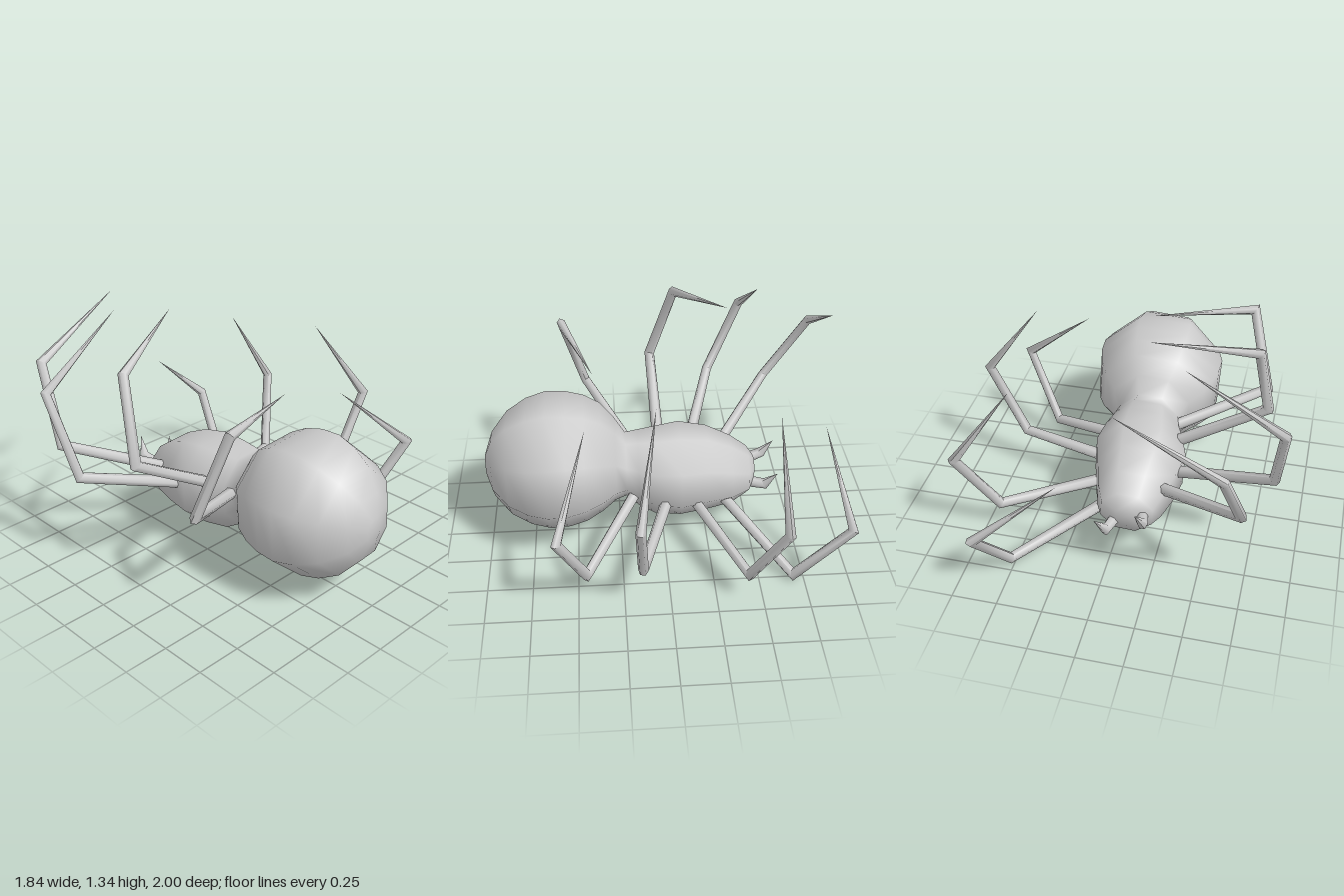
import * as THREE from 'three';
import { toCreasedNormals } from 'three/addons/utils/BufferGeometryUtils.js';

const material = new THREE.MeshStandardMaterial({ color: 0xcccccc });
const V = (a) => new THREE.Vector3(...a);

// Skins a list of rings (arrays of Vector3 with equal length) as one closed-round surface.
function skin(rings) {
  const n = rings[0].length;
  const index = [];
  for (let i = 0; i < rings.length - 1; i++) {
    for (let j = 0; j < n; j++) {
      const k = (j + 1) % n;
      const a = i * n + j, b = i * n + k, c = a + n, d = b + n;
      index.push(a, b, d, a, d, c);
    }
  }
  const geometry = new THREE.BufferGeometry().setFromPoints(rings.flat());
  geometry.setIndex(index);
  geometry.computeVertexNormals();
  return geometry;
}

// Eight-sided body lobe from sections [z, centreX, centreY, halfWidth, halfHeight].
function lobe(name, sections) {
  const phase = THREE.MathUtils.degToRad(26);
  const grow = 1 / Math.cos(THREE.MathUtils.degToRad(19));
  const rings = sections.map(([z, cx, cy, w, h]) =>
    Array.from({ length: 8 }, (_, j) => {
      const a = phase + (j * Math.PI) / 4;
      return new THREE.Vector3(cx + Math.cos(a) * w * grow, cy + Math.sin(a) * h * grow, z);
    }));
  const mesh = new THREE.Mesh(skin(rings), material);
  mesh.name = name;
  return mesh;
}

// Jointed limb with mitred joints, ending in a sharp point.
function limb(name, path, radii, sides = 6) {
  const p = path.map(V);
  const dirs = p.slice(1).map((q, i) => q.clone().sub(p[i]).normalize());
  const u = new THREE.Vector3(0, 1, 0).cross(dirs[0]).normalize();
  const v = dirs[0].clone().cross(u);
  let offsets = Array.from({ length: sides }, (_, j) => {
    const a = (j / sides) * Math.PI * 2;
    return u.clone().multiplyScalar(Math.cos(a) * radii[0]).addScaledVector(v, Math.sin(a) * radii[0]);
  });
  const place = (i) => offsets.map((o) => o.clone().add(p[i]));
  const rings = [offsets.map(() => p[0].clone()), place(0)];
  for (let i = 1; i < p.length - 1; i++) {
    // slide the ring along the segment onto the plane halving the bend
    const normal = dirs[i - 1].clone().add(dirs[i]).normalize();
    const slope = dirs[i - 1].dot(normal);
    offsets = offsets.map((o) => o.clone()
      .addScaledVector(dirs[i - 1], -o.dot(normal) / slope)
      .multiplyScalar(radii[i] / radii[i - 1]));
    rings.push(place(i));
  }
  rings.push(offsets.map(() => p[p.length - 1].clone()));
  const mesh = new THREE.Mesh(toCreasedNormals(skin(rings), 1.1), material);
  mesh.name = name;
  return mesh;
}

export function createModel() {
  const group = new THREE.Group();
  group.name = 'spider';

  // Head, waist and abdomen in one smooth skin
  group.add(lobe('body', [
    [-0.54, -0.10, 0.33, 0, 0],
    [-0.54, -0.10, 0.33, 0.06, 0.065],
    [-0.50, -0.09, 0.325, 0.145, 0.125],
    [-0.40, -0.085, 0.33, 0.185, 0.195],
    [-0.26, -0.085, 0.35, 0.225, 0.24],
    [-0.10, -0.075, 0.36, 0.262, 0.26],
    [0.05, -0.06, 0.365, 0.23, 0.245],
    [0.14, -0.055, 0.39, 0.195, 0.215],
    [0.21, -0.055, 0.42, 0.175, 0.175],
    [0.27, -0.055, 0.46, 0.23, 0.225],
    [0.35, -0.055, 0.475, 0.305, 0.295],
    [0.44, -0.05, 0.475, 0.345, 0.345],
    [0.54, -0.045, 0.475, 0.37, 0.37],
    [0.65, -0.043, 0.475, 0.375, 0.375],
    [0.76, -0.04, 0.475, 0.345, 0.345],
    [0.87, -0.035, 0.475, 0.275, 0.285],
    [0.96, -0.03, 0.475, 0.16, 0.18],
    [1.00, -0.03, 0.475, 0.05, 0.07],
    [1.00, -0.03, 0.475, 0, 0],
  ]));

  // Curled legs: hip, lower joint, upper joint, tip
  const legs = {
    right: [
      [[-0.22, 0.39, -0.33], [-0.72, 0.59, -0.68], [-0.65, 1.0, -0.92], [-0.12, 1.30, -0.93]],
      [[-0.24, 0.37, -0.16], [-0.85, 0.57, -0.34], [-0.89, 1.01, -0.53], [-0.39, 1.34, -0.56]],
      [[-0.24, 0.44, 0.01], [-0.76, 0.75, 0.03], [-0.70, 1.19, -0.11], [-0.17, 1.34, -0.36]],
      [[-0.18, 0.42, 0.15], [-0.72, 0.60, 0.43], [-0.60, 1.05, 0.55], [-0.04, 1.03, 0.38]],
    ],
    left: [
      [[0.04, 0.25, -0.33], [0.52, 0.03, -0.69], [0.61, 0.40, -0.97], [0.17, 0.78, -0.88]],
      [[0.10, 0.26, -0.17], [0.66, 0.17, -0.42], [0.84, 0.58, -0.58], [0.50, 1.07, -0.56]],
      [[0.11, 0.28, -0.02], [0.68, 0.26, 0.15], [0.89, 0.68, 0.17], [0.54, 1.17, 0.07]],
      [[0.05, 0.33, 0.14], [0.57, 0.14, 0.45], [0.78, 0.54, 0.59], [0.35, 0.93, 0.43]],
    ],
  };
  for (const [side, list] of Object.entries(legs)) {
    list.forEach((path, i) => group.add(limb(`${side}Leg${i + 1}`, path, [0.034, 0.029, 0.027])));
  }

  // Short hooked fangs
  group.add(limb('rightFang', [[-0.17, 0.32, -0.46], [-0.20, 0.36, -0.60], [-0.17, 0.46, -0.66]], [0.034, 0.029]));
  group.add(limb('leftFang', [[-0.04, 0.28, -0.46], [0.0, 0.275, -0.60], [0.05, 0.38, -0.66]], [0.034, 0.029]));

  return group;
}
